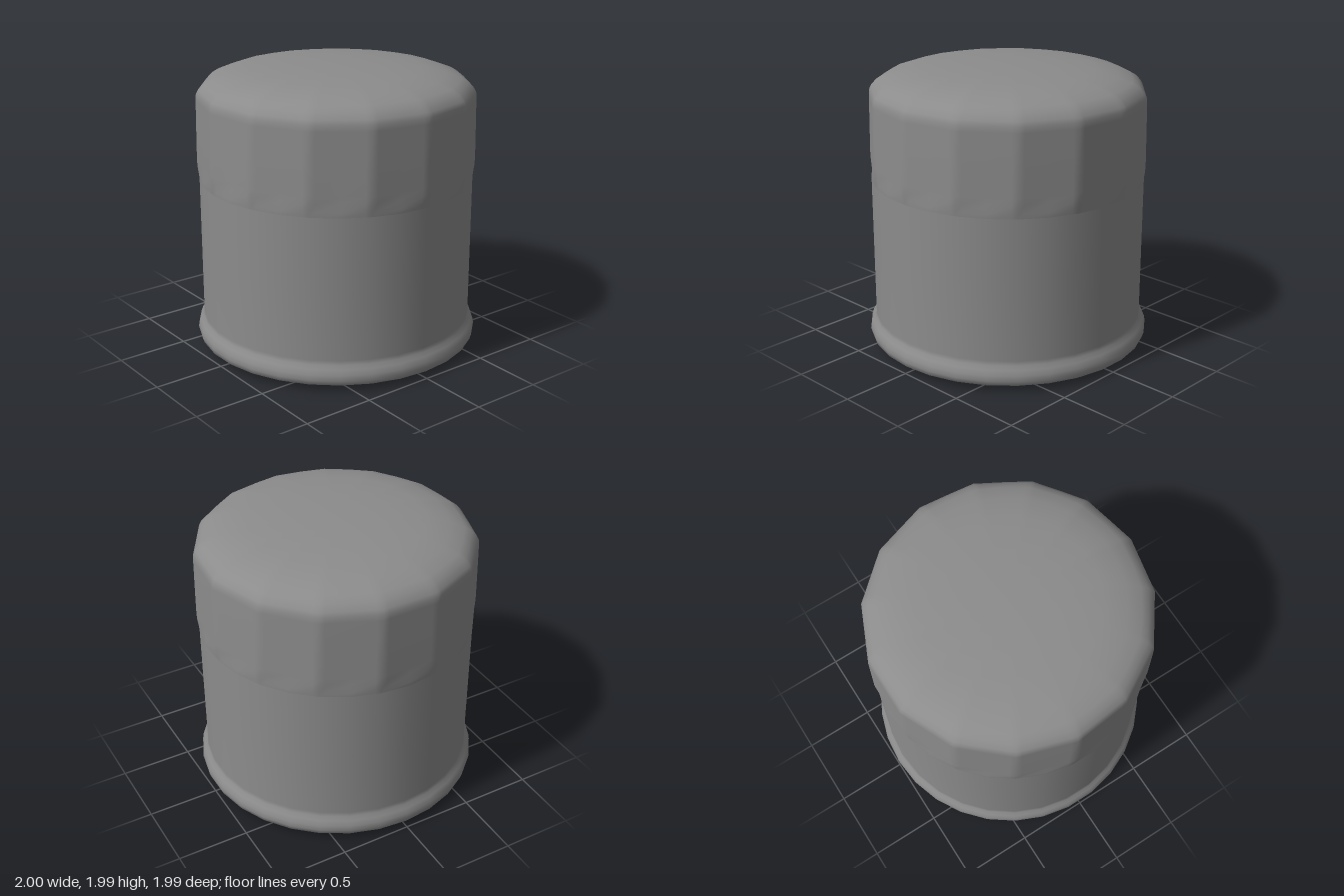
import * as THREE from 'three';

const FACETS = 15;
const STEP = (Math.PI * 2) / FACETS;

// Lathe with a vertex on the +x axis; profile points run so that outside is to the right
function lathe(name, points, material, segments = 30) {
  const profile = points.map(([r, y]) => new THREE.Vector2(r, y));
  const mesh = new THREE.Mesh(new THREE.LatheGeometry(profile, segments, Math.PI / 2), material);
  mesh.name = name;
  return mesh;
}

// Distance to the edge of a regular polygon of unit circumradius, vertex at angle 0
function polygonRadius(angle, sides) {
  const s = (Math.PI * 2) / sides;
  return Math.cos(s / 2) / Math.cos((angle % s) - s / 2);
}

// Closed skin through rings of [radius, height, roundness]; roundness 0 = 15 flats, 1 = round
function facetedSkin(rings) {
  const angles = [];
  for (let f = 0; f < FACETS; f++) {
    for (const t of [0, 0.1, 0.5, 0.9]) angles.push((f + t) * STEP);
  }
  const n = angles.length;
  const position = [];
  const index = [];
  for (const [r, y, k] of rings) {
    for (const a of angles) {
      const d = r * ((1 - k) * polygonRadius(a, FACETS) + k * polygonRadius(a, 30));
      position.push(d * Math.cos(a), y, -d * Math.sin(a));
    }
  }
  for (let i = 0; i < rings.length - 1; i++) {
    for (let j = 0; j < n; j++) {
      const a = i * n + j, b = i * n + ((j + 1) % n);
      index.push(a, b, b + n, a, b + n, a + n);
    }
  }
  // centre of the dome
  const [, top] = rings[rings.length - 1];
  const last = (rings.length - 1) * n;
  position.push(0, top + 0.002, 0);
  for (let j = 0; j < n; j++) index.push(last + j, last + ((j + 1) % n), rings.length * n);

  const geometry = new THREE.BufferGeometry();
  geometry.setAttribute('position', new THREE.Float32BufferAttribute(position, 3));
  geometry.setIndex(index);
  geometry.computeVertexNormals();
  return geometry;
}

export function createModel() {
  const group = new THREE.Group();
  group.name = 'canister';
  const grey = new THREE.MeshStandardMaterial({ color: 0x8c8c8c });
  grey.name = 'grey metal';

  // Straight can wall with the rolled bead at its foot
  group.add(lathe('canWall', [
    [0.97, 0.04], [0.99, 0.05], [1.0, 0.085], [0.995, 0.12], [0.98, 0.155],
    [0.96, 0.18], [0.955, 0.21], [0.955, 0.7], [0.955, 1.2],
  ], grey));

  // Gripping flats that blend into the domed top
  const cap = new THREE.Mesh(facetedSkin([
    [0.955, 1.2, 1], [0.958, 1.23, 0.9], [0.966, 1.29, 0.15], [0.968, 1.34, 0],
    [0.966, 1.5, 0], [0.962, 1.76, 0], [0.959, 1.8, 0], [0.945, 1.83, 0.1],
    [0.91, 1.87, 0.25], [0.86, 1.9, 0.45], [0.76, 1.935, 0.75], [0.6, 1.964, 1],
    [0.35, 1.979, 1], [0.15, 1.983, 1],
  ]), grey);
  cap.name = 'facetedCap';
  group.add(cap);

  // Underside of the bead and the sealing ring
  group.add(lathe('beadUnderside', [[0.92, 0.035], [0.97, 0.04]], grey));
  group.add(lathe('sealingRing', [
    [0.85, 0.004], [0.865, 0], [0.89, 0], [0.908, 0.012], [0.925, 0.035],
  ], grey));

  // Recess wall, dished base plate and the central threaded bore
  group.add(lathe('recessWall', [[0.795, 0.14], [0.81, 0.1], [0.825, 0.05], [0.85, 0.004]], grey));
  group.add(lathe('basePlate', [[0.275, 0.24], [0.795, 0.14]], grey));
  group.add(lathe('boreWall', [[0.275, 0.75], [0.275, 0.24]], grey));
  group.add(lathe('boreEnd', [[0, 0.75], [0.275, 0.75]], grey));

  return group;
}
